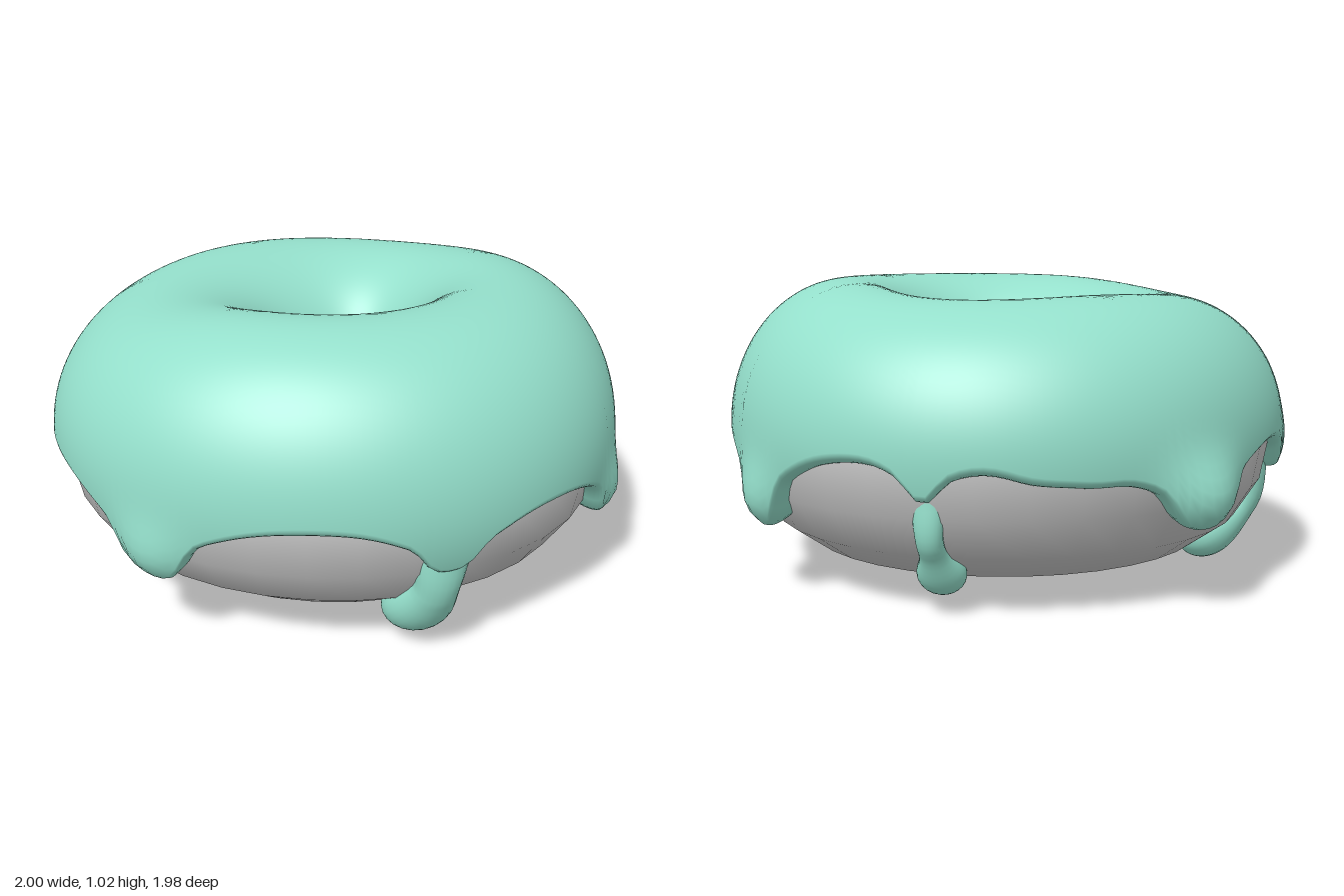
import * as THREE from 'three';
import { ParametricGeometry } from 'three/addons/geometries/ParametricGeometry.js';

const TAU = Math.PI * 2;
const rad = THREE.MathUtils.degToRad;
const RING = 0.56;      // radius of the ring's centre line
const MID = 0.52;       // height of the icing's widest line
const DOUGH_MID = 0.49; // height of the dough's widest line

// Icing lobes: angle, depth, width and swelling at the tip (long drips get only a root here)
const LOBES = [
  [16, 0.23, 11, 0.055], [64, 0.17, 9, 0], [120, 0.24, 12.5, 0.05], [180, 0.16, 9, 0.02],
  [226, 0.21, 13, 0.085], [254, 0.06, 16, 0], [279, 0.11, 5, 0], [320, 0.26, 12, 0.06],
];

// Long hanging drips: angle at root and tip, section angle at tip, neck and bulb radius
const DRIPS = [
  { from: 63, to: 66.5, tip: -70, neck: 0.07, bulb: 0.11 },
  { from: 180, to: 180, tip: -80, neck: 0.065, bulb: 0.115 },
  { from: 279, to: 279, tip: -68, neck: 0.042, bulb: 0.078 },
];

// Gentle swelling of the outline towards one angle and away from the opposite one
const lean = (a) => 0.5 * (Math.cos(a) + Math.cos(3 * a));

// A point on the ring: phi goes round the hole, t round the section, off is the height above the dough
function ringPoint(phi, t, off, target, mid = MID) {
  const c = Math.cos(t), s = Math.sin(t);
  const hole = 0.168 + 0.047 * Math.cos(phi) + 0.018 * Math.sin(phi) + 0.013 * Math.cos(2 * phi + 0.5);
  const swell = 0.0175 * lean(phi - Math.PI / 4) + 0.016 * lean(phi - Math.PI * 0.75)
    + 0.0045 * (1 - Math.cos(4 * phi));
  const across = c > 0 ? 0.38 + off + swell : RING - hole + off * 0.8;
  const slope = Math.sin(phi + Math.PI / 4);
  const tilt = 0.036 * Math.tanh(2 * slope) + 0.02 * Math.min(slope, 0) ** 4;
  const tall = s > 0 ? 0.44 + off * 0.65 + tilt : mid - 0.095 + off;
  const r = RING + across * c;
  return target.set(r * Math.cos(phi), mid + tall * s, r * Math.sin(phi));
}

// Signed difference in degrees between phi and a lobe's angle
const away = (phi, angle) => ((phi * 180 / Math.PI - angle + 540) % 360) - 180;

// Section angle of an icing edge that hangs down by drop
const edgeAngle = (drop) => Math.asin((0.54 - drop - MID) / 0.46);

// How far the icing edge hangs down at an angle, with blunt rounded tips
function hang(phi) {
  return LOBES.reduce((sum, [angle, depth, width]) => {
    const d = away(phi, angle) / width;
    return sum + depth * (0.6 * Math.exp(-((d / 1.25) ** 2)) + 0.4 * Math.exp(-((d / 0.6) ** 4)));
  }, 0);
}

// Extra thickness where the icing gathers in a bead at the tip of each lobe
function bead(phi, t) {
  return LOBES.reduce((sum, [angle, depth, width, swell]) => {
    const a = away(phi, angle) / (width * 0.65);
    const b = (t - edgeAngle(depth) - 0.12) / 0.24;
    return sum + swell * Math.exp(-a * a - b * b);
  }, 0);
}

function doughGeometry() {
  return new ParametricGeometry((u, v, p) => ringPoint(u * TAU, -v * TAU, 0.012, p, DOUGH_MID), 36, 16);
}

// Icing sheet with rounded lips that curl in to the dough at both edges
function icingGeometry() {
  const lip = 0.1;
  return new ParametricGeometry((u, v, p) => {
    const phi = u * TAU;
    const start = rad(174);
    const end = edgeAngle(hang(phi));
    const w = THREE.MathUtils.clamp((v - lip) / (1 - 2 * lip), 0, 1);
    let t = start + (end - start) * w;
    let off = 0.05 + bead(phi, t);
    const curl = Math.max(lip - v, v - 1 + lip, 0) / lip * Math.PI / 2;
    t += Math.sign(0.5 - v) * 0.085 * Math.sin(curl);
    off = (off + 0.012) * Math.cos(curl) - 0.012;
    return ringPoint(phi, t, off, p);
  }, 180, 60);
}

// Drip that follows the dough, sinking into the icing at the root and swelling to a round bulb
function dripGeometry({ from, to, tip, neck, bulb }) {
  const start = rad(-5), end = rad(tip);
  const length = (start - end) * 0.42;
  const { smoothstep, lerp } = THREE.MathUtils;
  return new ParametricGeometry((u, v, p) => {
    const d = length * (1 - v) ** 2; // distance from the tip
    const r = d < bulb
      ? Math.max(Math.sqrt(bulb ** 2 - (bulb - d) ** 2), 0.003)
      : lerp(bulb, neck, smoothstep(d, bulb, bulb * 2.6));
    const root = smoothstep(d, length * 0.5, length * 0.9);
    const t = end + d / 0.42;
    const w = u * TAU;
    const around = RING + 0.4 * Math.cos(t);
    const phi = rad(lerp(to, from, d / length)) + r * (1 + 0.4 * root) * Math.sin(w) / around;
    return ringPoint(phi, t, 0.025 - 0.06 * root + r * 0.85 * Math.cos(w), p);
  }, 24, 30);
}

export function createModel() {
  const group = new THREE.Group();
  group.name = 'icedDoughnut';
  const dough = new THREE.MeshStandardMaterial({ color: 0xc6c6c6 });
  dough.name = 'dough grey';
  const icing = new THREE.MeshStandardMaterial({ color: 0x94dfcb });
  icing.name = 'mint icing';

  const add = (name, geometry, material) => {
    const mesh = new THREE.Mesh(geometry, material);
    mesh.name = name;
    group.add(mesh);
  };
  add('dough', doughGeometry(), dough);
  add('icing', icingGeometry(), icing);
  DRIPS.forEach((drip, i) => add('longDrip' + (i + 1), dripGeometry(drip), icing));
  return group;
}
